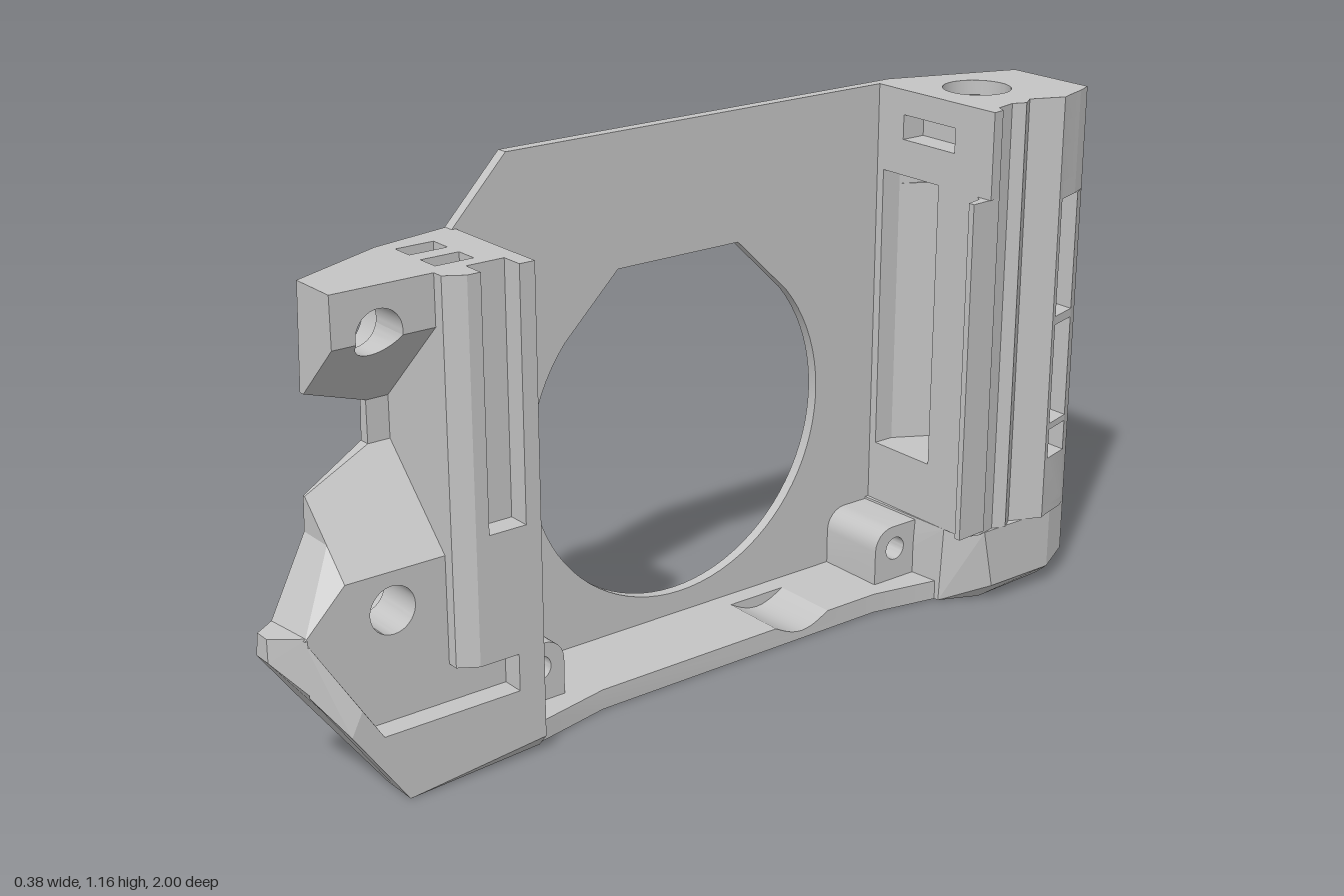
import * as THREE from 'three';
import { toCreasedNormals } from 'three/addons/utils/BufferGeometryUtils.js';
import { ConvexGeometry } from 'three/addons/geometries/ConvexGeometry.js';

const val = (f, z, y) => (typeof f === 'function' ? f(z, y) : f);

// slanted outer face of the front end, and the V-shaped inner face of its mounting block
const slant = (z, y) => Math.max(-0.19, -0.06 + 0.43 * (z - 0.86) + 0.06 * (y - 1.02));
const vUpper = (z, y) => Math.max(-0.13, Math.min(0.055, 0.055 - (0.92 - y)));
const vLower = (z, y) => Math.max(-0.13, Math.min(0.055, 0.055 - (y - 0.46)));

export function createModel() {
  const group = new THREE.Group();
  const grey = new THREE.MeshStandardMaterial({ color: 0xc4c4c4 });
  grey.name = 'grey plastic';

  const add = (name, geo) => {
    const mesh = new THREE.Mesh(geo, grey);
    mesh.name = name;
    group.add(mesh);
  };

  const circle = (a, b, r, n = 40) =>
    Array.from({ length: n }, (_, i) => [a + r * Math.cos((i * 2 * Math.PI) / n), b + r * Math.sin((i * 2 * Math.PI) / n)]);
  const rect = (a0, b0, a1, b1) => [[a0, b0], [a1, b0], [a1, b1], [a0, b1]];

  // outlines run counter-clockwise and holes clockwise, so every wall faces outwards
  const shapeOf = (pts, holes, s1, s2) => {
    const wind = (list, clockwise) => {
      const v = list.map(([a, b]) => new THREE.Vector2(s1 * a, s2 * b));
      return THREE.ShapeUtils.isClockWise(v) === clockwise ? v : v.reverse();
    };
    const shape = new THREE.Shape(wind(pts, false));
    for (const h of holes) shape.holes.push(new THREE.Path(wind(h, true)));
    return shape;
  };

  // outline in (z, y), running along x between two surfaces
  const slab = (name, pts, holes, outer, inner) => {
    const geo = new THREE.ExtrudeGeometry(shapeOf(pts, holes, -1, 1), { depth: 1, bevelEnabled: false });
    geo.rotateY(Math.PI / 2);
    const p = geo.attributes.position;
    for (let i = 0; i < p.count; i++) {
      p.setX(i, val(p.getX(i) < 0.5 ? outer : inner, p.getZ(i), p.getY(i)));
    }
    geo.computeVertexNormals();
    add(name, toCreasedNormals(geo, 0.3));
  };

  // outline in (x, z), running up y
  const prism = (name, pts, y0, y1, holes = [], rule = (x) => x) => {
    const geo = new THREE.ExtrudeGeometry(shapeOf(pts, holes, 1, -1), { depth: y1 - y0, bevelEnabled: false });
    geo.rotateX(-Math.PI / 2).translate(0, y0, 0);
    const p = geo.attributes.position;
    for (let i = 0; i < p.count; i++) p.setX(i, rule(p.getX(i), p.getY(i), p.getZ(i)));
    geo.computeVertexNormals();
    add(name, toCreasedNormals(geo, 0.3));
  };

  const hull = (name, pts) => add(name, new ConvexGeometry(pts.map((p) => new THREE.Vector3(...p))));

  // side plate with a round, flat-topped opening
  const opening = [];
  const a0 = Math.atan2(0.255, 0.3);
  for (let i = 0; i <= 60; i++) {
    const a = Math.PI - a0 + (i / 60) * (Math.PI + 2 * a0);
    opening.push([-0.1 + 0.39 * Math.cos(a), 0.485 + 0.39 * Math.sin(a)]);
  }
  opening.push([0.06, 0.87], [-0.26, 0.87]);
  slab('side plate', [[0.46, 0.045], [0.46, 1.025], [0.33, 1.16], [-0.71, 1.16], [-0.71, 0.045]], [opening], -0.19, -0.165);

  // floor rail with a shallow dip and a chamfered outer edge
  const dip = Array.from({ length: 11 }, (_, i) => [-0.21 - 0.015 * i, 0.045 - 0.026 * Math.sin((Math.PI * i) / 10)]);
  slab('floor edge', rect(-0.7, 0, 0.46, 0.045), [], (z, y) => -0.14 - 0.05 * Math.min(1, y / 0.045), -0.12);
  slab('floor rail', [[0.46, 0], [0.46, 0.045], [0.26, 0.045], ...dip, [-0.5, 0.045], [-0.7, 0.045], [-0.7, 0], [-0.5, 0], [0.26, 0]], [],
    -0.12, (z) => 0.037 + Math.max(0, Math.abs(z + 0.12) - 0.38) * 0.2);

  // screw bosses on the floor
  for (const [c, s] of [[0.39, 1], [-0.595, -1]]) {
    const corner = Array.from({ length: 7 }, (_, i) => {
      const a = (i / 6) * (Math.PI / 2);
      return [c - s * (0.01 + 0.05 * Math.sin(a)), 0.125 + 0.05 * Math.cos(a)];
    });
    slab('screw boss', [[c + s * 0.065, 0.04], [c + s * 0.065, 0.175], ...corner, [c - s * 0.06, 0.04]], [circle(c, 0.12, 0.027, 24)], -0.166, 0);
  }

  // front column, stacked from slices with a cable groove and two sockets
  const follow = (x, y, z) => (x < -0.15 ? Math.max(x, slant(z, y)) : x);
  const left = [[-0.19, 0.64], [-0.19, 0.56], [-0.19, 0.45]];
  const grooved = [...left, [0.105, 0.45], [0.105, 0.485], [0.055, 0.485], [0.055, 0.57], [0.105, 0.57], [0.105, 0.6], [0.08, 0.64]];
  prism('front column foot', [...left, [0.105, 0.45], [0.105, 0.51], [0.055, 0.51], [0.055, 0.64]], 0.15, 0.23, [], follow);
  prism('front column lower', [...left, [0.105, 0.45], [0.105, 0.6], [0.08, 0.64]], 0.23, 0.5, [], follow);
  prism('front column middle', grooved, 0.5, 0.93, [], follow);
  prism('front column top', grooved, 0.93, 1.025, [rect(-0.12, 0.53, -0.07, 0.615), rect(-0.03, 0.53, 0.02, 0.615)], follow);

  // upper mounting block: counterbored outside, screw hole inside, 45 degree underside
  const half = (up) => {
    const s = Math.asin(-0.2);
    return Array.from({ length: 21 }, (_, i) => {
      const a = up ? s + (i / 20) * (Math.PI - 2 * s) : s - (i / 20) * (Math.PI + 2 * s);
      return [0.76 + 0.05 * Math.cos(a), 0.93 + 0.05 * Math.sin(a)];
    });
  };
  slab('upper block outside', rect(0.64, 0.825, 0.86, 1.025), [circle(0.76, 0.93, 0.0875)], slant, -0.04);
  slab('upper block inside', [[0.64, 0.92], [0.64, 1.025], [0.86, 1.025], [0.86, 0.92], ...half(true)], [], -0.04, 0.055);
  slab('upper block slope', [[0.64, 0.92], [0.64, 0.825], [0.86, 0.825], [0.86, 0.92], ...half(false)], [], -0.04, vUpper);
  slab('upper block wedge', [[0.64, 0.735], [0.69, 0.735], [0.86, 0.805], [0.86, 0.825], [0.64, 0.825]], [], slant, vUpper);
  slab('block web', rect(0.64, 0.645, 0.69, 0.735), [], slant, -0.13);

  // lower mounting block
  slab('lower block outside', rect(0.64, 0.28, 0.86, 0.575), [circle(0.76, 0.38, 0.0875)], slant, -0.06);
  slab('lower block inside', rect(0.64, 0.28, 0.86, 0.46), [circle(0.76, 0.38, 0.05)], -0.06, 0.055);
  slab('lower block slope', rect(0.64, 0.46, 0.86, 0.575), [], -0.06, vLower);
  slab('lower block wedge', [[0.64, 0.575], [0.86, 0.575], [0.86, 0.595], [0.69, 0.645], [0.64, 0.645]], [], slant, vLower);

  // faceted front bumper
  hull('bumper base', [[-0.19, 0.05, 0.45], [-0.14, 0, 0.45], [0.055, 0, 0.45], [0.055, 0.28, 0.45], [-0.19, 0.28, 0.45],
    [-0.19, 0.28, 0.66], [-0.19, 0.17, 0.676], [-0.105, 0.17, 0.885], [slant(0.86, 0.28), 0.28, 0.86], [0.055, 0.28, 0.86],
    [0.055, 0.17, 0.885], [0.02, 0, 0.77], [0.055, 0, 0.77], [-0.14, 0, 0.52]]);
  hull('bumper nose', [[-0.105, 0.17, 0.885], [0.055, 0.17, 0.885], [slant(0.86, 0.2), 0.2, 0.86], [0.055, 0.2, 0.86],
    [-0.045, 0.32, 1], [0, 0.32, 1], [0, 0.37, 1], [-0.035, 0.37, 1], [-0.055, 0.375, 0.96], [0.055, 0.375, 0.945],
    [0.055, 0.25, 0.94], [slant(0.86, 0.375), 0.375, 0.86], [0.055, 0.375, 0.86]]);
  hull('bumper brow', [[slant(0.86, 0.52), 0.52, 0.86], [-0.005, 0.52, 0.86], [0.055, 0.46, 0.86], [0.055, 0.37, 0.95],
    [-0.055, 0.37, 0.962], [slant(0.86, 0.37), 0.37, 0.86], [0.055, 0.37, 0.86]]);
  hull('bumper ledge', [[0.05, 0, 0.45], [0.08, 0, 0.45], [0.105, 0.03, 0.45], [0.105, 0.15, 0.45], [0.05, 0.15, 0.45],
    [0.05, 0.15, 0.82], [0.105, 0.15, 0.82], [0.105, 0, 0.77], [0.05, 0, 0.77]]);
  hull('bumper rim', [[0.05, 0.15, 0.82], [0.105, 0.15, 0.82], [0.105, 0.22, 0.865], [0.05, 0.37, 0.95], [0.05, 0.25, 0.945],
    [0.105, 0.17, 0.89], [0.105, 0, 0.77], [0.05, 0, 0.77]]);

  // rear column: slanted wall, ribbed fin and cross pieces around a tall pocket
  const ribs = [[0.172, -0.9], [0.178, -0.885], [0.145, -0.81], [0.165, -0.78], [0.152, -0.75], [0.163, -0.7]];
  const tab = [[0.185, -0.69], [0.19, -0.61], [0.175, -0.61], [0.165, -0.65]];
  const outside = [[-0.19, -0.65], [-0.19, -0.71], [-0.085, -1], [0.135, -1], [0.152, -0.97]];
  const cut = [[-0.19, -0.65], [-0.19, -0.71], [-0.1, -0.96], [0.153, -0.96]];
  const face = [[0.15, -0.66], [-0.165, -0.66], [-0.165, -0.65]];
  const wall = [...outside, [0.03, -0.97], [-0.02, -0.93], [-0.145, -0.71], [-0.145, -0.66], [-0.165, -0.66], [-0.165, -0.65]];
  // the rear outer corner leans inwards towards the foot
  const lean = (x, y, z) => (z < -0.99 && x < 0 ? x + 0.23 * Math.max(0, 0.57 - y) : x);
  prism('rear column foot', [...outside, ...ribs, ...face], 0.18, 0.2, [], lean);
  prism('rear column base', [...outside, ...ribs, ...tab, ...face], 0.2, 0.32, [], lean);
  prism('rear wall lower', wall, 0.32, 0.57, [], lean);
  prism('rear wall', wall, 0.57, 0.93);
  prism('ribbed fin', [[0.03, -0.66], [0.03, -0.9], ...ribs, ...tab, [0.15, -0.66]], 0.32, 0.97);
  for (const [y0, y1] of [[0.39, 0.405], [0.64, 0.66]]) {
    prism('window bar', [[0.03, -0.9], [0.03, -0.97], [0.152, -0.97], [0.172, -0.9]], y0, y1);
  }
  prism('rear wall upper', [...cut, [0.172, -0.9], [0.03, -0.9], [-0.06, -0.9], [-0.145, -0.71], [-0.145, -0.66], [-0.165, -0.66], [-0.165, -0.65]], 0.93, 0.97);

  // rear column head with nut slot and counterbored screw hole
  const bore = (r) => [circle(-0.005, -0.8, r)];
  const headSide = [...cut, ...ribs, [0.185, -0.69], [0.19, -0.66]];
  const slot = [[0.075, -0.66], [0.075, -0.72], [-0.085, -0.72], [-0.085, -0.66]];
  const headEnd = [[-0.165, -0.66], [-0.165, -0.65]];
  prism('rear head base', [...headSide, ...headEnd], 0.97, 1.05, bore(0.045));
  prism('rear head slot', [...headSide, ...slot, ...headEnd], 1.05, 1.105, bore(0.045));
  prism('rear head top', [...headSide, ...headEnd], 1.105, 1.16, bore(0.075));
  prism('screw seat', circle(-0.005, -0.8, 0.064), 1.105, 1.13, bore(0.048));

  // rear cap with a hexagonal nut recess
  const hex = circle(0, 0, 0.085, 6).map(([a, b]) => [0.025 + b, 1.035 + a]);
  const cap = new THREE.ExtrudeGeometry(shapeOf(rect(-0.085, 0.93, 0.135, 1.16), [hex], 1, 1), { depth: 0.04, bevelEnabled: false });
  const cp = cap.attributes.position;
  for (let i = 0; i < cp.count; i++) {
    if (cp.getZ(i) > 0.02 && cp.getX(i) < -0.08) cp.setX(i, -0.1);
    if (cp.getZ(i) > 0.02 && cp.getX(i) > 0.13) cp.setX(i, 0.153);
  }
  cap.translate(0, 0, -1);
  cap.computeVertexNormals();
  add('rear nut recess', cap);

  // chamfered rear foot
  hull('rear foot', [[-0.14, 0, -0.64], [-0.19, 0.05, -0.64], [-0.19, 0.18, -0.65], [-0.19, 0.18, -0.71], [-0.19, 0.05, -0.7],
    [-0.14, 0, -0.72], [0.05, 0, -0.95], [0.03, 0.06, -1], [0.005, 0.18, -1], [0.135, 0.18, -1], [0.135, 0.06, -1],
    [0.11, 0, -0.95], [0.16, 0.04, -0.93], [0.16, 0.18, -0.93], [0.16, 0.18, -0.72], [0.16, 0.04, -0.75],
    [0.12, 0, -0.75], [0.08, 0, -0.66], [0.09, 0.18, -0.66]]);

  return group;
}
